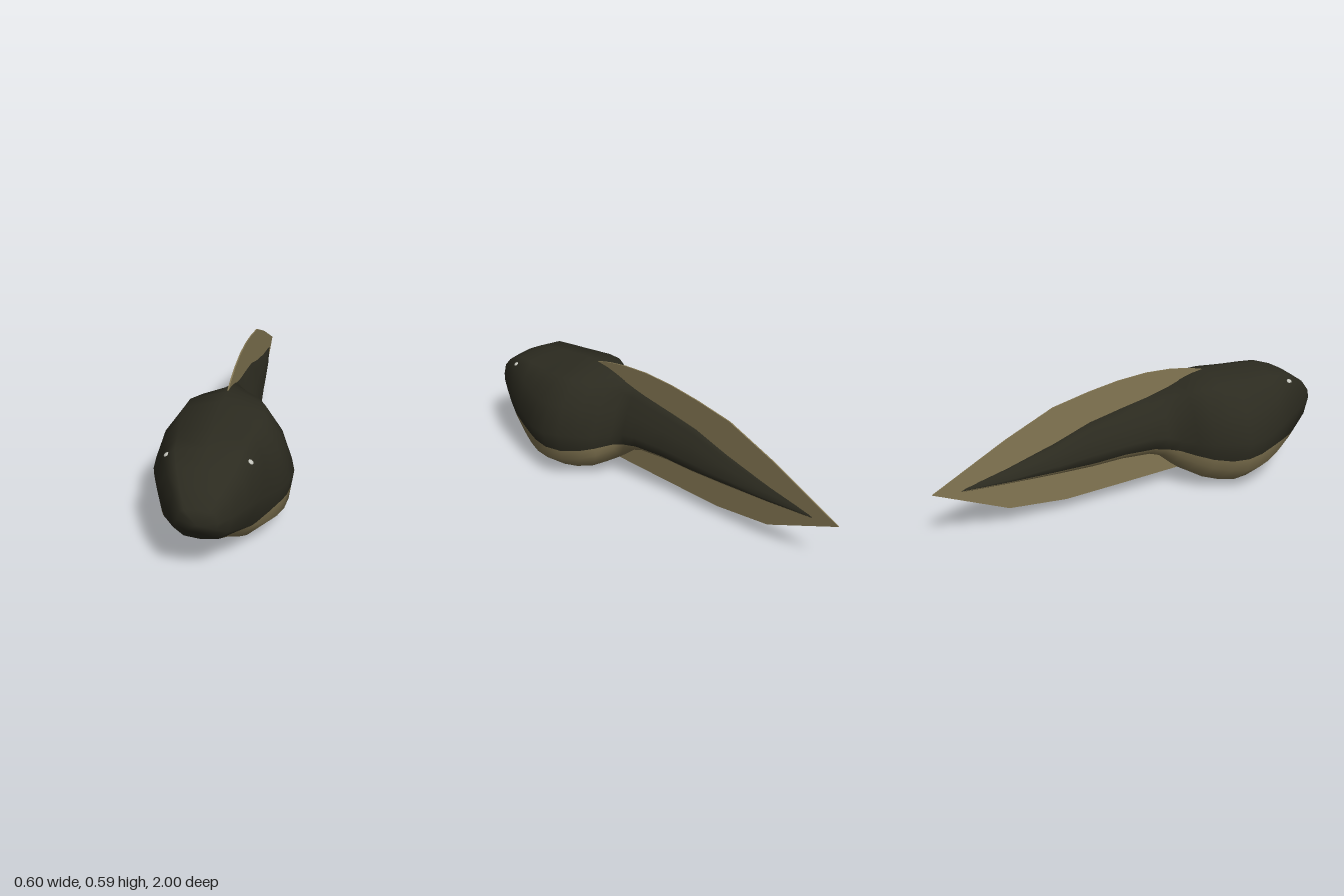
import * as THREE from 'three';

// Half cross-sections from top to bottom: [share of half width, share of height]
const PROFILES = [
  [[0, 1], [0.62, 0.955], [0.86, 0.87], [1, 0.5], [0.9, 0.2], [0.56, 0.04], [0, 0]],     // head
  [[0, 1], [0.57, 0.91], [0.84, 0.7], [1, 0.45], [0.93, 0.19], [0.57, 0.03], [0, 0]],    // trunk
  [[0, 1], [0.25, 0.87], [0.62, 0.66], [1, 0.36], [0.85, 0.16], [0.4, 0.04], [0, 0]],    // tail
];

// Nose to tail: z, top, bottom, half width, profile (0 head, 1 trunk, 2 tail),
// lower edge of the dark back
const SECTIONS = [
  [1.0, 0.315, 0.315, 0, 0, 0.2],
  [0.98, 0.37, 0.27, 0.08, 0, 0.2],
  [0.93, 0.425, 0.205, 0.12, 0, 0.205],
  [0.85, 0.475, 0.16, 0.17, 0, 0.2],
  [0.77, 0.515, 0.1, 0.21, 0, 0.197],
  [0.68, 0.535, 0.045, 0.24, 0.6, 0.19],
  [0.6, 0.545, 0.015, 0.268, 0.9, 0.185],
  [0.53, 0.55, 0.005, 0.29, 1, 0.178],
  [0.45, 0.556, 0.003, 0.3, 1, 0.172],
  [0.37, 0.558, 0.018, 0.28, 1, 0.17],
  [0.29, 0.545, 0.04, 0.235, 1.15, 0.18],
  [0.23, 0.528, 0.072, 0.185, 1.45, 0.195],
  [0.18, 0.51, 0.11, 0.11, 1.9, 0.205],
  [0.12, 0.493, 0.16, 0.095, 2, 0.22],
  [0.05, 0.475, 0.185, 0.09, 2, 0.235],
  [-0.1, 0.445, 0.195, 0.078, 2, 0.238],
  [-0.25, 0.413, 0.19, 0.064, 2, 0.225],
  [-0.43, 0.348, 0.195, 0.049, 2, 0.222],
  [-0.66, 0.28, 0.205, 0.029, 2, 0.22],
  [-0.9, 0.224, 0.216, 0, 2, 0.22],
];

// Side outline of the fin as [z, y]: over the top to the tip, back underneath
const FIN = [
  [0.37, 0.553], [0.28, 0.573], [0.18, 0.586], [0.05, 0.59], [-0.1, 0.578], [-0.25, 0.553],
  [-0.43, 0.513], [-0.66, 0.41], [-1, 0.233], [-0.66, 0.083], [-0.38, 0.055], [-0.1, 0.063],
  [0.24, 0.074], [0.3, 0.2],
];
const FIN_THICKNESS = 0.006;

// Keeps the part of a polygon above (side 1) or below (side -1) the colour edge
function clip(poly, side) {
  const out = [];
  poly.forEach((a, i) => {
    const b = poly[(i + 1) % poly.length];
    const fa = a[6] * side, fb = b[6] * side;
    if (fa >= 0) out.push(a);
    if ((fa > 0 && fb < 0) || (fa < 0 && fb > 0)) {
      const t = fa / (fa - fb);
      out.push(a.map((v, k) => v + (b[k] - v) * t));
    }
  });
  return out;
}

function toMesh(polys, material, name) {
  const pos = [], nor = [];
  for (const p of polys) {
    for (let i = 1; i + 1 < p.length; i++) {
      for (const v of [p[0], p[i], p[i + 1]]) {
        pos.push(v[0], v[1], v[2]);
        nor.push(v[3], v[4], v[5]);
      }
    }
  }
  const g = new THREE.BufferGeometry();
  g.setAttribute('position', new THREE.Float32BufferAttribute(pos, 3));
  g.setAttribute('normal', new THREE.Float32BufferAttribute(nor, 3));
  const mesh = new THREE.Mesh(g, material);
  mesh.name = name;
  return mesh;
}

// Closed ring of twelve points for one section
function ring([z, top, bottom, w, shape]) {
  const k = Math.min(Math.floor(shape), 1), t = shape - k;
  const half = PROFILES[k].map(([px, py], i) => {
    const [qx, qy] = PROFILES[k + 1][i];
    return [w * (px + (qx - px) * t), bottom + (top - bottom) * (py + (qy - py) * t), z];
  });
  const mirrored = half.slice(1, -1).reverse().map(([x, y]) => [-x, y, z]);
  return [...half, ...mirrored];
}

export function createModel() {
  const group = new THREE.Group();
  group.name = 'tadpole';
  const darkSkin = new THREE.MeshStandardMaterial({ color: 0x2c2b20 });
  darkSkin.name = 'dark olive skin';
  const paleSkin = new THREE.MeshStandardMaterial({ color: 0x847753 });
  paleSkin.name = 'pale tan skin';
  const eyeWhite = new THREE.MeshStandardMaterial({ color: 0xc4c4bc });
  eyeWhite.name = 'pale eye';

  // Smooth skin lofted through the sections
  const N = 12, index = [];
  for (let i = 0; i + 1 < SECTIONS.length; i++) {
    for (let j = 0; j < N; j++) {
      const a = i * N + j, b = i * N + (j + 1) % N;
      index.push(a, b, a + N, b, b + N, a + N);
    }
  }
  const skin = new THREE.BufferGeometry();
  skin.setAttribute('position', new THREE.Float32BufferAttribute(SECTIONS.flatMap(ring).flat(), 3));
  skin.setIndex(index);
  skin.computeVertexNormals();
  const P = skin.attributes.position, Nm = skin.attributes.normal;
  for (let j = 0; j < N; j++) Nm.setXYZ(j, 0, 0, 1); // rounded nose tip

  // Vertex: position, normal, height above the colour edge
  const vertex = (i) => {
    const y = P.getY(i);
    return [P.getX(i), y, P.getZ(i), Nm.getX(i), Nm.getY(i), Nm.getZ(i),
      y - SECTIONS[Math.floor(i / N)][5]];
  };

  // Split the skin into dark back and pale belly
  const back = [], belly = [];
  for (let i = 0; i < index.length; i += 3) {
    const tri = [vertex(index[i]), vertex(index[i + 1]), vertex(index[i + 2])];
    back.push(clip(tri, 1));
    belly.push(clip(tri, -1));
  }
  group.add(toMesh(back, darkSkin, 'back'));
  group.add(toMesh(belly, paleSkin, 'belly'));

  // Thin upright fin running through the tail
  const outline = new THREE.Shape(FIN.map(([z, y]) => new THREE.Vector2(z, y)));
  const fin = new THREE.Mesh(
    new THREE.ExtrudeGeometry(outline, { depth: FIN_THICKNESS, bevelEnabled: false }), paleSkin);
  fin.name = 'tailFin';
  fin.rotation.y = -Math.PI / 2;
  fin.position.x = FIN_THICKNESS / 2;
  group.add(fin);

  // Tiny eyes on the corners of the head
  for (const side of [1, -1]) {
    const eye = new THREE.Mesh(new THREE.SphereGeometry(0.013, 12, 8), eyeWhite);
    eye.name = side > 0 ? 'leftEye' : 'rightEye';
    eye.scale.set(1, 0.5, 1);
    eye.position.set(side * 0.165, 0.468, 0.768);
    eye.rotation.z = -side * 0.65;
    group.add(eye);
  }
  return group;
}
